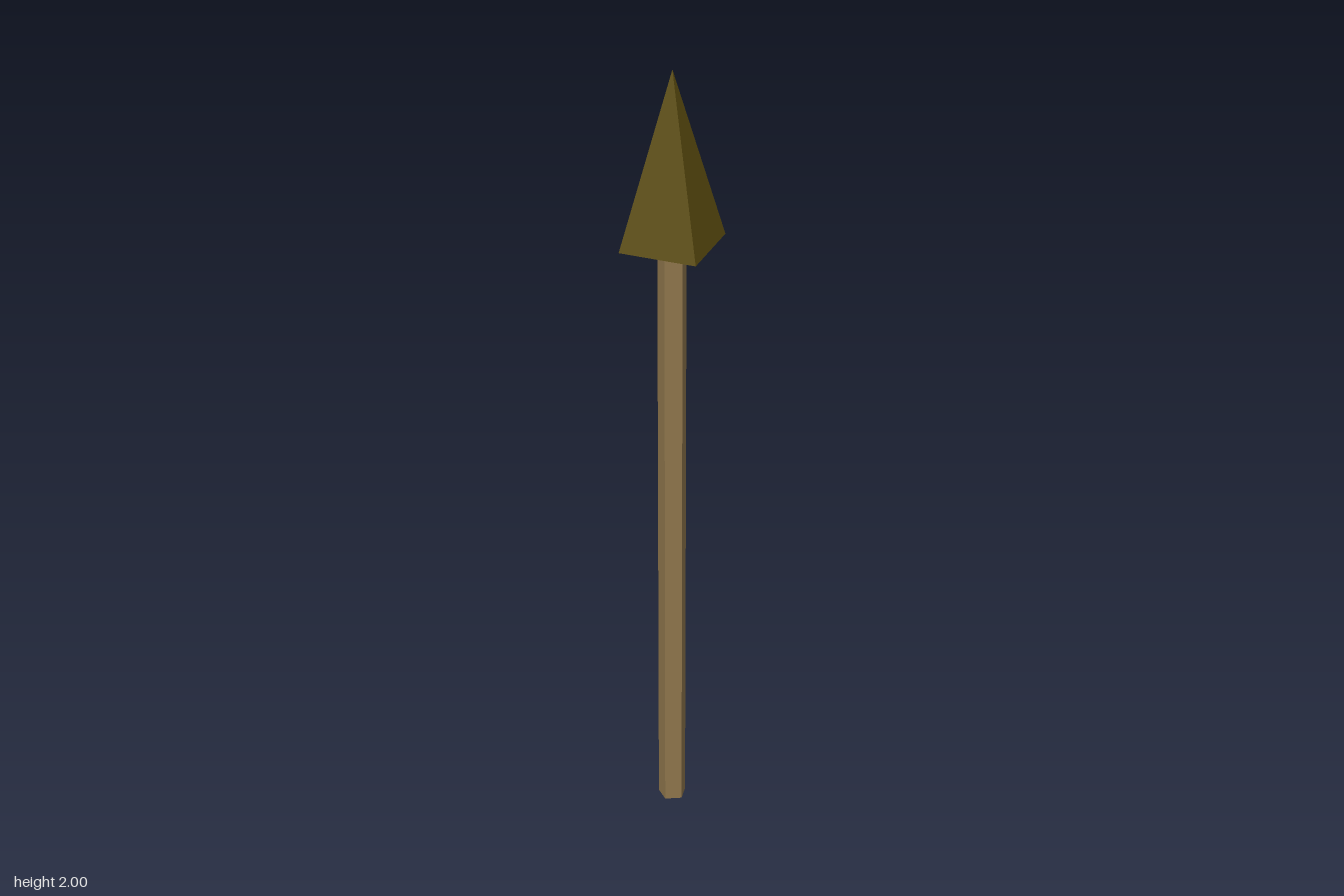
import * as THREE from 'three';

const HEIGHT = 2;
const HEAD_BASE = 1.57;

export function createModel() {
  const model = new THREE.Group();
  model.name = 'arrow';

  const addPart = (name, geometry, color, y) => {
    const material = new THREE.MeshStandardMaterial({ color, flatShading: true });
    const mesh = new THREE.Mesh(geometry, material);
    mesh.name = name;
    mesh.position.y = y;
    model.add(mesh);
  };

  // Five-sided wooden shaft with one edge pointing to +x
  addPart(
    'shaft',
    new THREE.CylinderGeometry(0.036, 0.036, HEAD_BASE, 5, 1, false, Math.PI / 2),
    0x8f764c,
    HEAD_BASE / 2
  );

  // Four-sided pyramid head with its corners on the axes
  const headHeight = HEIGHT - HEAD_BASE;
  addPart(
    'head',
    new THREE.ConeGeometry(0.135, headHeight, 4),
    0x5c4d10,
    HEAD_BASE + headHeight / 2
  );

  return model;
}
